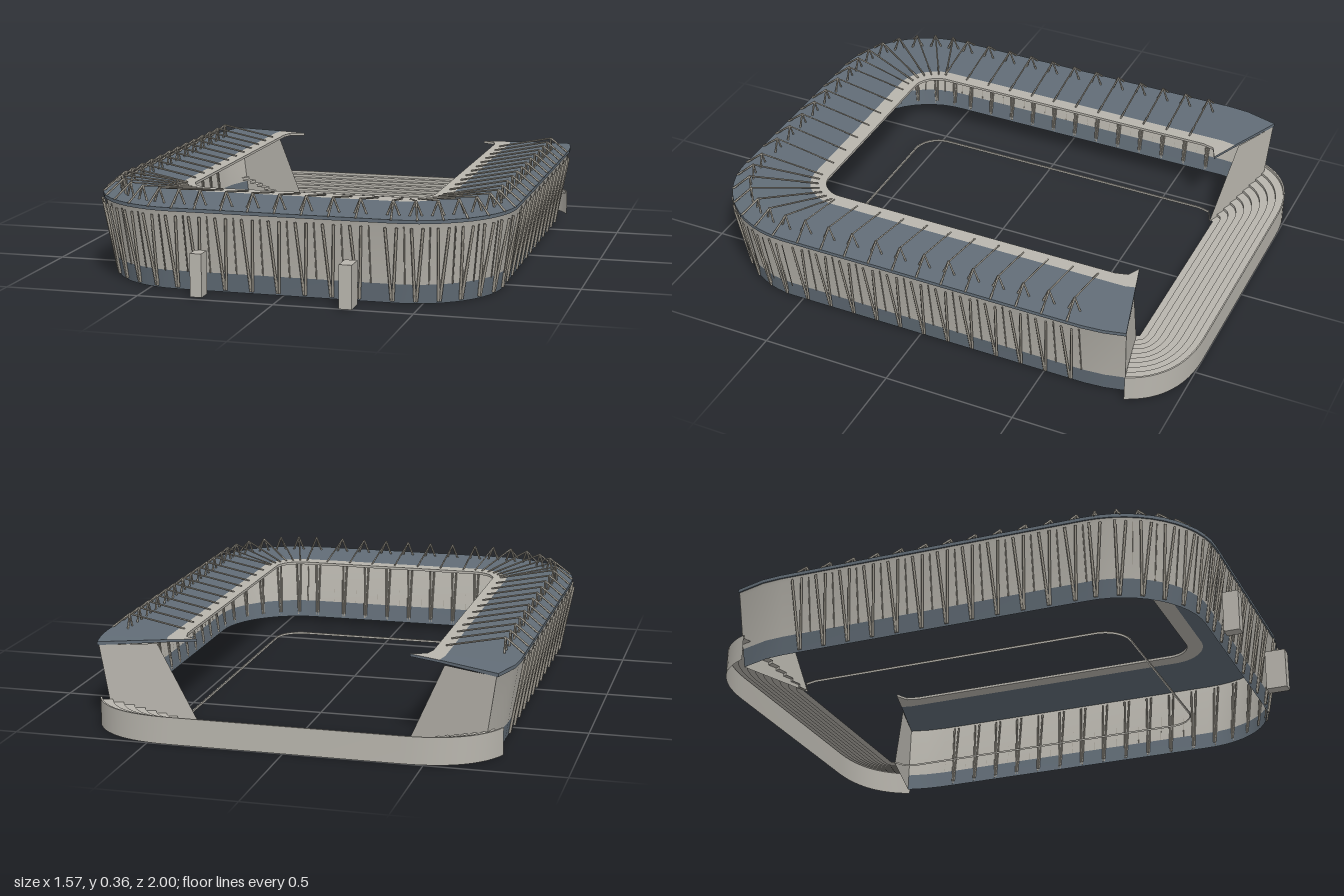
import * as THREE from 'three';
import { mergeGeometries, toCreasedNormals } from 'three/addons/utils/BufferGeometryUtils.js';

const V = (x, y, z) => new THREE.Vector3(x, y, z);
const flat = (x, z) => V(x, 0, z);
const at = (p, y) => V(p.x, y, p.z);

const material = (name, color) => {
  const m = new THREE.MeshStandardMaterial({ color, side: THREE.DoubleSide });
  m.name = name;
  return m;
};

// Skin stretched between rows that have equal point counts
function strip(rows, crease = 0.5) {
  const pos = [], index = [], n = rows[0].length;
  rows.forEach(r => r.forEach(p => pos.push(p.x, p.y, p.z)));
  for (let r = 0; r < rows.length - 1; r++) for (let c = 0; c < n - 1; c++) {
    const a = r * n + c, b = a + 1, d = a + n, e = d + 1;
    index.push(a, b, d, b, e, d);
  }
  const g = new THREE.BufferGeometry();
  g.setAttribute('position', new THREE.Float32BufferAttribute(pos, 3));
  g.setIndex(index);
  g.computeVertexNormals();
  return toCreasedNormals(g, crease);
}

// Straight square bar between two points
function bar(a, b, r) {
  const dir = b.clone().sub(a);
  const g = new THREE.CylinderGeometry(r, r, dir.length(), 4, 1);
  g.applyQuaternion(new THREE.Quaternion().setFromUnitVectors(V(0, 1, 0), dir.clone().normalize()));
  const c = a.clone().add(b).multiplyScalar(0.5);
  return g.translate(c.x, c.y, c.z);
}

// Point on a rounded front corner; angle 0 = front, 90 = side
function corner(hx, hz, r, deg) {
  const t = THREE.MathUtils.degToRad(deg);
  return flat(hx - r + r * Math.sin(t), hz - r + r * Math.cos(t));
}
const station = deg => ({
  o: corner(0.775, 0.92, 0.375, deg),
  m: corner(0.515, 0.635, 0.16, deg),
  i: corner(0.46, 0.57, 0.1, deg),
});
const flip = s => ({ o: flat(-s.o.x, s.o.z), m: flat(-s.m.x, s.m.z), i: flat(-s.i.x, s.i.z) });
const rear = (o, m, i) => ({ o: flat(...o), m: flat(...m), i: flat(...i) });

// Plan of the U-shaped bowl: outer edge, glazing line and inner edge
function plan() {
  const half = [];
  for (let d = 90; d >= 0; d -= 7.5) half.push(station(d));
  const bend = [
    rear([0.768, -0.74], [0.515, -0.72], [0.448, -0.705]),
    rear([0.775, -0.66], [0.515, -0.66], [0.46, -0.66]),
  ];
  const right = [rear([0.75, -0.82], [0.505, -0.757], [0.4, -0.73]), ...bend, ...half];
  const left = [rear([0.73, -0.865], [0.505, -0.776], [0.39, -0.73]), ...bend, ...half].map(flip);
  return [...right, ...left.reverse()];
}

// Point moved inward from the outer edge by an offset
function inset(s, off, y) {
  const d = s.i.clone().sub(s.o).normalize();
  return s.o.clone().addScaledVector(d, off).setY(y);
}

// One frame: facade struts below, mast and ties above the roof
function truss(s, facade, roofTies) {
  const d = s.i.clone().sub(s.o).normalize();
  const tan = V(-d.z, 0, d.x);
  const p = (off, y, side) => inset(s, off, y).addScaledVector(tan, side);
  for (const k of [-1, 1]) {
    facade.push(bar(p(0.048, 0.008, k * 0.003), p(-0.002, 0.278, k * 0.02), 0.005));
    facade.push(bar(p(0.05, 0.02, k * 0.003), p(0.02, 0.278, k * 0.01), 0.004));
    roofTies.push(bar(p(0.07, 0.307, k * 0.022), p(0.07, 0.362, 0), 0.004));
  }
  facade.push(bar(p(0.04, 0.07, 0.045), p(0.006, 0.28, 0.045), 0.0025));
  roofTies.push(bar(p(0, 0.304, 0), p(0.07, 0.36, 0), 0.004));
  roofTies.push(bar(p(0.07, 0.36, 0), p(s.i.distanceTo(s.o) - 0.03, 0.317, 0), 0.0035));
}

// Terraced open stand at the rear
function rearStand() {
  const curve = new THREE.QuadraticBezierCurve3(flat(0.745, -0.82), flat(0.67, -1), flat(0.42, -1));
  const outer = curve.getPoints(12);
  const inner = outer.map((_, k) => flat(0.4 - 0.02 * k / 12, -0.73 - 0.013 * Math.min(1, k / 4)));
  const mirror = list => [...list, ...list.map(p => flat(-p.x, p.z)).reverse()];
  const o = mirror(outer), i = mirror(inner);
  const row = (t, y) => o.map((p, k) => i[k].clone().lerp(p, t).setY(y));
  const rows = [], steps = 9;
  for (let k = 0; k < steps; k++) {
    const y = 0.004 + 0.085 * k / (steps - 1);
    rows.push(row(0.98 * k / steps, y), row(0.98 * (k + 1) / steps, y));
  }
  rows.push(row(0.98, 0.1), row(1, 0.1));
  return { terraces: strip(rows), wall: strip([row(1, 0.1), row(1, 0)]) };
}

export function createModel() {
  const root = new THREE.Group();
  const concrete = material('pale concrete', 0xb8b5ad);
  const slate = material('slate blue', 0x626d77);
  const steel = material('warm grey steel', 0xa39e93);
  const add = (name, geometry, mat) => {
    const m = new THREE.Mesh(geometry, mat);
    m.name = name;
    root.add(m);
    return m;
  };

  const U = plan();
  const ring = (key, y) => U.map(s => at(s[key], y));
  const lean = (off, y) => U.map(s => inset(s, off, y));

  // Leaning outer wall with a darker base
  add('wallBase', strip([lean(0.053, 0), lean(0.042, 0.07)]), slate);
  add('wallUpper', strip([lean(0.042, 0.07), lean(0.01, 0.28), lean(0.006, 0.294)]), concrete);

  // Roof slab and pale inner edge band
  add('roof', strip([ring('m', 0.304), ring('o', 0.293), ring('o', 0.306), ring('m', 0.314)]), slate);
  add('roofInnerBand', strip([ring('m', 0.314), ring('i', 0.316), ring('i', 0.306), ring('m', 0.304)]), concrete);

  // Roof end caps and slanted end walls
  for (const [side, s] of [['left', U[0]], ['right', U[U.length - 1]]]) {
    add(side + 'RoofCap', strip([
      [at(s.o, 0.293), at(s.m, 0.304), at(s.i, 0.306)],
      [at(s.o, 0.306), at(s.m, 0.314), at(s.i, 0.316)],
    ]), slate);
    add(side + 'EndWall', strip([
      [inset(s, 0.053, 0), at(s.i, 0)],
      [inset(s, 0.006, 0.294), at(s.o.clone().lerp(s.i, 0.6), 0.299)],
    ]), concrete);
  }

  // Low kerb around the inner field edge
  add('fieldKerb', strip([ring('i', 0), ring('i', 0.008), lean(0.32, 0.008).map((p, k) =>
    at(U[k].i.clone().lerp(U[k].o, 0.015), 0.008))]), concrete);

  // Repeated frames around the bowl
  const facade = [], ties = [];
  const straight = (o, i) => truss({ o: flat(...o), i: flat(...i) }, facade, ties);
  for (let k = 0; k < 12; k++) {
    const zl = -0.605 + k * 0.0985, zr = -0.59 + k * 0.0985;
    straight([0.775, zl], [0.46, zl]);
    straight([-0.775, zr], [-0.46, zr]);
  }
  for (let k = 0; k < 7; k++) {
    const x = -0.313 + k * 0.098;
    straight([x, 0.92], [x, 0.57]);
    const s = station(k * 14);
    truss(s, facade, ties);
    truss(flip(s), facade, ties);
  }
  add('facadeStruts', mergeGeometries(facade), steel);
  add('roofFrames', mergeGeometries(ties), steel);

  // Rear stand
  const stand = rearStand();
  add('rearTerraces', stand.terraces, concrete);
  add('rearStandWall', stand.wall, concrete);

  // Two front towers
  add('rightTower', new THREE.BoxGeometry(0.043, 0.157, 0.06).translate(-0.292, 0.0785, 0.94), concrete);
  add('leftTower', new THREE.BoxGeometry(0.046, 0.157, 0.08).translate(0.26, 0.0785, 0.96), concrete);

  return root;
}
